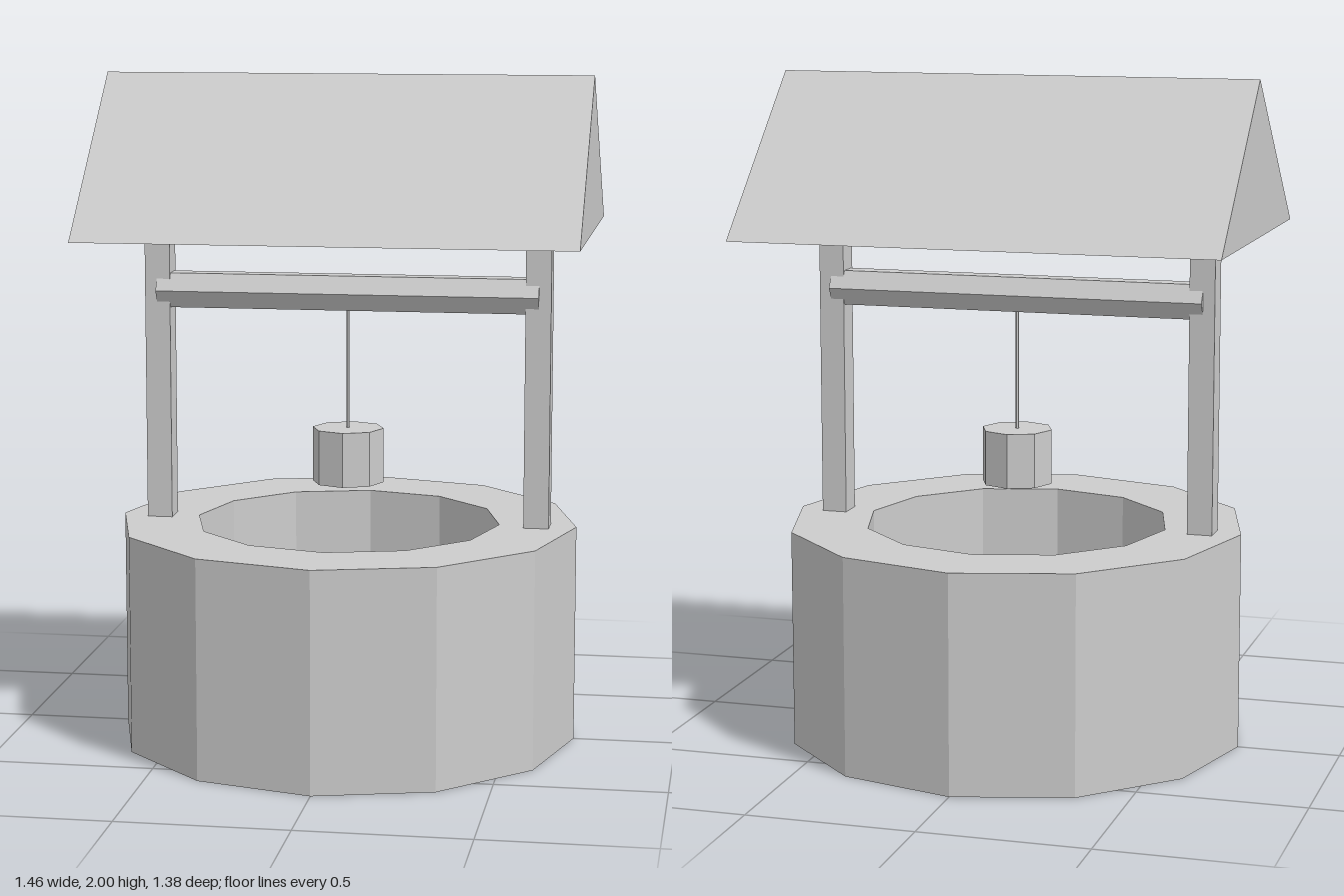
import * as THREE from 'three';

export function createModel() {
  const well = new THREE.Group();
  well.name = 'wishingWell';
  const grey = new THREE.MeshStandardMaterial({ color: 0xcccccc, flatShading: true });
  grey.name = 'plainGrey';

  const add = (name, geometry, x = 0, y = 0, z = 0) => {
    const mesh = new THREE.Mesh(geometry, grey);
    mesh.name = name;
    mesh.position.set(x, y, z);
    well.add(mesh);
    return mesh;
  };

  // Twelve-sided ring wall
  const wallTop = 0.655, outer = 0.692, inner = 0.46;
  const ring = [[outer, 0], [outer, wallTop], [inner, wallTop], [inner, 0], [outer, 0]];
  add('wall', new THREE.LatheGeometry(ring.map(([r, y]) => new THREE.Vector2(r, y)), 12));

  // Water level inside the shaft
  add('water', new THREE.CylinderGeometry(inner, inner, 0.008, 12), 0, 0.23);

  // Posts standing on the rim
  const eaves = 1.54;
  for (const side of [-1, 1]) {
    add(side > 0 ? 'leftPost' : 'rightPost',
      new THREE.BoxGeometry(0.076, eaves - wallTop, 0.08),
      side * 0.574, (eaves + wallTop) / 2);
  }

  // Six-sided axle between the posts
  add('axle', new THREE.CylinderGeometry(0.06, 0.06, 1.152, 6), 0, 1.35).rotation.z = Math.PI / 2;

  // Rope and bucket
  add('rope', new THREE.CylinderGeometry(0.005, 0.005, 0.38, 6), 0, 1.12);
  add('bucket', new THREE.CylinderGeometry(0.108, 0.108, 0.165, 8), 0, 0.857);

  // Closed gable roof, ridge along x
  const gable = new THREE.Shape([
    new THREE.Vector2(-0.5, eaves), new THREE.Vector2(0.5, eaves), new THREE.Vector2(0, 2),
  ]);
  const roof = new THREE.ExtrudeGeometry(gable, { depth: 1.456, bevelEnabled: false });
  roof.translate(0, 0, -0.728).rotateY(Math.PI / 2);
  add('roof', roof);

  return well;
}
